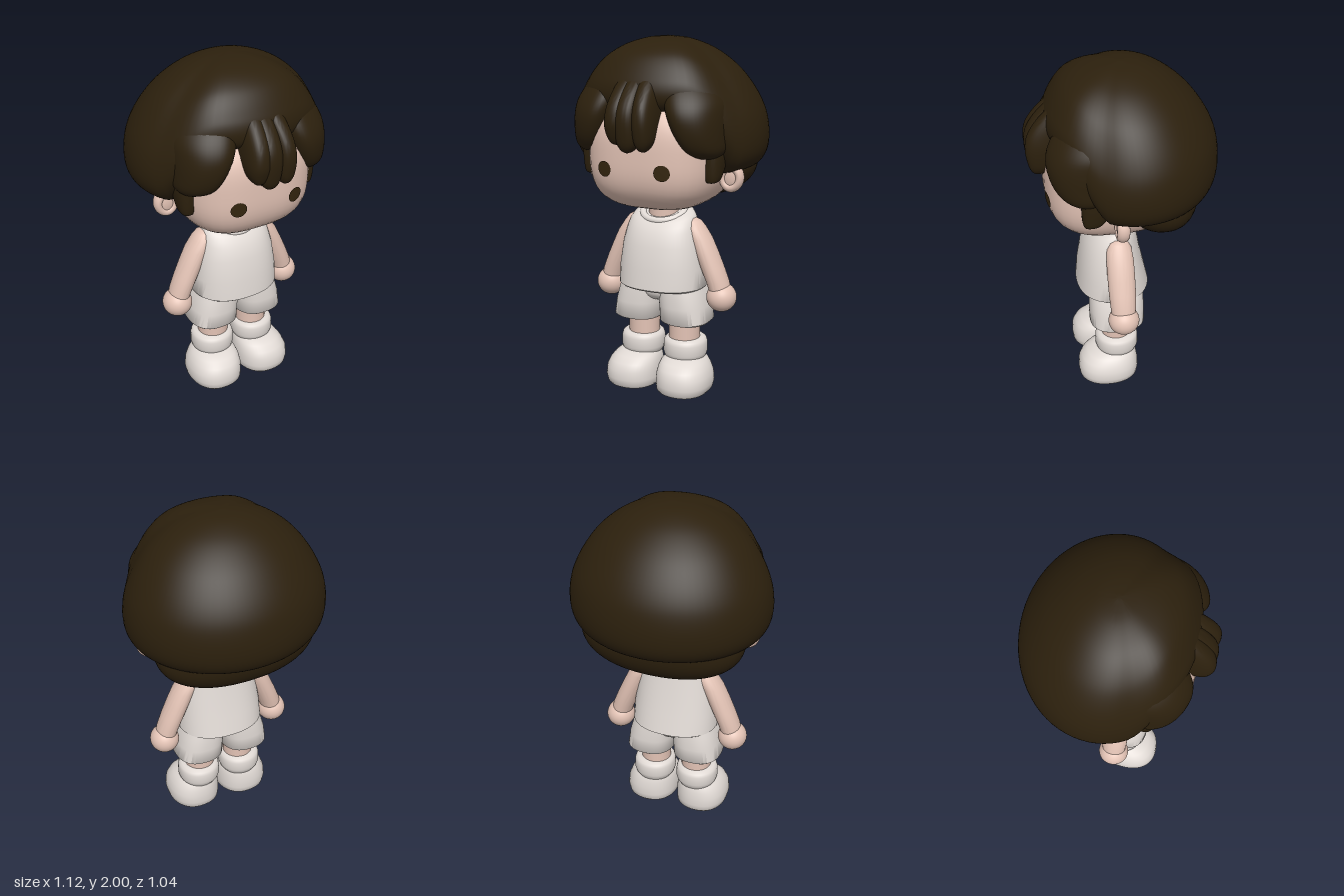
import * as THREE from 'three';
import { mergeVertices, toCreasedNormals } from 'three/addons/utils/BufferGeometryUtils.js';

const material = (name, color) => {
  const m = new THREE.MeshStandardMaterial({ color });
  m.name = name;
  return m;
};

// Rounded block: a sphere pushed out towards a box as n grows
function blob(rx, ry, rz, n = 2) {
  const g = new THREE.SphereGeometry(1, 48, 36);
  const p = g.attributes.position;
  for (let i = 0; i < p.count; i++) {
    const v = new THREE.Vector3().fromBufferAttribute(p, i);
    const k = Math.pow(Math.abs(v.x) ** n + Math.abs(v.y) ** n + Math.abs(v.z) ** n, -1 / n);
    p.setXYZ(i, v.x * k * rx, v.y * k * ry, v.z * k * rz);
  }
  g.deleteAttribute('uv');
  g.deleteAttribute('normal');
  const out = mergeVertices(g, 1e-5);
  out.computeVertexNormals();
  return out;
}

// Fills in extra rings along a spline through the given ones
function smooth(rings, count = 32) {
  const columns = rings[0].map((_, c) =>
    new THREE.SplineCurve(rings.map((r, i) => new THREE.Vector2(i, r[c]))).getPoints(count));
  return columns[0].map((_, i) => columns.map((col) => col[i].y));
}

// Closed skin over horizontal rings [y, rx, rz, cx, cz], bottom to top
function loft(rings, n = 2, rule = null, seg = 48) {
  const pos = [], idx = [];
  const first = rings[0], last = rings[rings.length - 1];
  const all = [[first[0], 0, 0, first[3], first[4]], ...rings, [last[0], 0, 0, last[3], last[4]]];
  all.forEach(([y, rx, rz, cx = 0, cz = 0], r) => {
    for (let i = 0; i < seg; i++) {
      const a = (i / seg) * Math.PI * 2, c = Math.cos(a), s = Math.sin(a);
      const k = Math.pow(Math.abs(c) ** n + Math.abs(s) ** n, -1 / n);
      const v = new THREE.Vector3(cx + c * k * rx, y, cz + s * k * rz);
      if (rule) rule(v, s);
      pos.push(v.x, v.y, v.z);
      if (r === all.length - 1) continue;
      const j = (i + 1) % seg, b = r * seg, t = b + seg;
      idx.push(b + i, t + i, b + j, b + j, t + i, t + j);
    }
  });
  const g = new THREE.BufferGeometry();
  g.setAttribute('position', new THREE.Float32BufferAttribute(pos, 3));
  g.setIndex(idx);
  return toCreasedNormals(g, 0.9);
}

export function createModel() {
  const hair = material('dark brown hair', 0x2c200d);
  const skin = material('skin', 0xe3c3b5);
  const cloth = material('off-white cloth', 0xe1dad5);
  const eyeMat = material('eye brown', 0x35260f);
  const model = new THREE.Group();
  model.name = 'child';
  const { smoothstep } = THREE.MathUtils;

  const add = (name, geo, mat, x = 0, y = 0, z = 0, rx = 0, ry = 0, rz = 0) => {
    const m = new THREE.Mesh(geo, mat);
    m.name = name;
    m.position.set(x, y, z);
    m.rotation.set(rx, ry, rz);
    model.add(m);
    return m;
  };

  // Head and neck
  const H = { y: 1.38, z: 0.06, rx: 0.37, ry: 0.32, rz: 0.37, n: 3 };
  add('head', blob(H.rx, H.ry, H.rz, H.n), skin, 0, H.y, H.z);
  add('neck', new THREE.CylinderGeometry(0.09, 0.09, 0.16, 32), skin, 0, 1.04, 0.045);
  const faceZ = (x, y) => H.z + H.rz * Math.pow(
    1 - Math.abs(x / H.rx) ** H.n - Math.abs((y - H.y) / H.ry) ** H.n, 1 / H.n);

  // Hair cap: the rim lifts towards the front to open the face
  const profile = smooth([
    [1.28, 0.34], [1.28, 0.43], [1.315, 0.505], [1.38, 0.548], [1.47, 0.56], [1.57, 0.547], [1.66, 0.514],
    [1.75, 0.463], [1.83, 0.4], [1.9, 0.318], [1.95, 0.23], [1.987, 0.12], [2, 0.001],
  ], 52).map(([y, r]) => [y, r, r]);
  add('hairCap', loft(profile, 2, (v, s) => {
    const back = 0.04 * (1 - smoothstep(v.y, 1.6, 2));
    v.y = 2 - (2 - v.y) * (1 - 0.45 * smoothstep(s, 0.4, 0.92));
    v.z = v.z * (s > 0 ? 0.81 : 0.86) - back;
  }, 72), hair);
  add('napeHair', blob(0.46, 0.24, 0.23, 2.25), hair, 0, 1.32, -0.18);

  // Middle fringe: three locks flowing down from the crown
  const lock = (cx, w, tip) => loft(smooth([
    [tip, 0.008, 0.01, cx, 0.45], [tip + 0.015, w * 0.45, 0.04, cx, 0.445],
    [tip + 0.06, w * 0.85, 0.085, cx, 0.42], [1.57, w, 0.12, cx, 0.397], [1.65, w, 0.14, cx * 0.95, 0.36],
    [1.73, w, 0.16, cx * 0.85, 0.285], [1.8, w * 0.95, 0.16, cx * 0.75, 0.205],
    [1.86, w * 0.8, 0.12, cx * 0.6, 0.14], [1.9, w * 0.4, 0.05, cx * 0.5, 0.1],
  ]), 2.6);
  add('fringeMiddle', lock(-0.012, 0.072, 1.41), hair);
  add('fringeRight', lock(-0.077, 0.065, 1.45), hair);
  add('fringeLeft', lock(0.08, 0.06, 1.42), hair);

  // Shirt with a neckline dipping at the front
  add('shirt', loft([
    [0.6, 0.245, 0.2, 0, 0.055], [0.61, 0.256, 0.212, 0, 0.055], [0.72, 0.25, 0.195, 0, 0.062],
    [0.85, 0.23, 0.17, 0, 0.066], [0.95, 0.208, 0.148, 0, 0.063], [1.0, 0.194, 0.134, 0, 0.06],
    [1.03, 0.176, 0.12, 0, 0.056], [1.045, 0.145, 0.1, 0, 0.05], [1.045, 0.1, 0.08, 0, 0.045],
  ], 2.3, (v) => { v.y -= 0.34 * (v.z - 0.02) * smoothstep(v.y, 0.88, 1.04); }), cloth);
  const band = new THREE.TorusGeometry(0.112, 0.02, 16, 48);
  band.rotateX(Math.PI / 2);
  add('neckband', band, cloth, 0, 1.025, 0.05, 0.34).scale.set(1.08, 1, 0.98);
  add('shortsSeat', blob(0.12, 0.09, 0.15, 2.5), cloth, 0, 0.6, 0.048);

  for (const s of [1, -1]) {
    const side = s > 0 ? 'left' : 'right';

    // Eye laid on the face
    const eye = new THREE.CircleGeometry(0.043, 32);
    const p = eye.attributes.position;
    for (let i = 0; i < p.count; i++) {
      const x = p.getX(i) + s * 0.17, y = p.getY(i) + 1.31;
      p.setXYZ(i, x, y, faceZ(x, y) + 0.006);
    }
    eye.computeVertexNormals();
    add(side + 'Eye', eye, eyeMat);

    // Ear with a soft raised rim
    add(side + 'Ear', blob(0.06, 0.075, 0.034), skin, s * 0.415, 1.25, 0.056, 0, 0, -s * 0.15);
    add(side + 'EarRim', new THREE.TorusGeometry(0.05, 0.024, 16, 40), skin,
      s * 0.412, 1.25, 0.06, 0, 0, -s * 0.15).scale.set(0.95, 1.1, 1.4);

    // Swept fringe, slanting back towards the temple, and sideburn
    add(side + 'Fringe', loft(smooth([
      [1.375, 0.01, 0.01, 0.355, 0.27], [1.385, 0.055, 0.06, 0.352, 0.268],
      [1.425, 0.095, 0.12, 0.34, 0.26], [1.5, 0.118, 0.155, 0.322, 0.255], [1.59, 0.137, 0.175, 0.303, 0.24],
      [1.67, 0.148, 0.18, 0.285, 0.205], [1.75, 0.135, 0.17, 0.255, 0.15],
      [1.82, 0.1, 0.14, 0.215, 0.09], [1.87, 0.04, 0.06, 0.18, 0.05],
    ]).map(([y, rx, rz, cx, cz]) => [y, rx, rz, s * cx, cz]), 2.3,
    (v) => { v.z -= (Math.abs(v.x) - 0.3) * 0.4; }), hair);
    add(side + 'Sideburn', loft(smooth([
      [1.245, 0.015, 0.02, 0.365, 0.225], [1.255, 0.035, 0.045, 0.365, 0.21], [1.3, 0.047, 0.068, 0.365, 0.195],
      [1.4, 0.052, 0.09, 0.368, 0.175], [1.55, 0.05, 0.09, 0.36, 0.17],
    ], 16).map(([y, rx, rz, cx, cz]) => [y, rx, rz, s * cx, cz]), 2.6), hair);

    // Arm and hand
    add(side + 'Arm', loft([
      [0.58, 0.06, 0.066, 0.35], [0.65, 0.065, 0.073, 0.33], [0.73, 0.066, 0.077, 0.297],
      [0.81, 0.066, 0.078, 0.262], [0.89, 0.065, 0.077, 0.225], [0.95, 0.06, 0.07, 0.19],
      [0.985, 0.042, 0.05, 0.18], [1.0, 0.02, 0.024, 0.175],
    ].map(([y, rx, rz, cx]) => [y, rx, rz, s * cx, 0.04])), skin);
    add(side + 'Hand', blob(0.085, 0.083, 0.088), skin, s * 0.355, 0.56, 0.04);

    // Shorts leg
    add(side + 'ShortsLeg', loft([
      [0.4, 0.134, 0.15, 0.148], [0.41, 0.144, 0.161, 0.147], [0.5, 0.14, 0.161, 0.138],
      [0.58, 0.134, 0.158, 0.122], [0.64, 0.12, 0.15, 0.11],
    ].map(([y, rx, rz, cx]) => [y, rx, rz, s * cx, 0.048]), 2.5), cloth);

    // Leg, sock cuff and shoe
    add(side + 'Leg', new THREE.CylinderGeometry(0.09, 0.09, 0.3, 32), skin, s * 0.13, 0.33, 0.05);
    add(side + 'SockCuff', loft([
      [0.17, 0.108, 0.11], [0.19, 0.12, 0.122], [0.21, 0.126, 0.128], [0.265, 0.125, 0.127],
      [0.285, 0.119, 0.121], [0.295, 0.105, 0.107],
    ].map(([y, rx, rz]) => [y, rx, rz, s * 0.137, 0.048]), 2.1), cloth);
    add(side + 'Shoe', loft([
      [0, 0.142, 0.165, 0.16, 0.105], [0.015, 0.154, 0.177, 0.16, 0.105],
      [0.05, 0.159, 0.181, 0.163, 0.105], [0.1, 0.156, 0.178, 0.161, 0.104],
      [0.14, 0.144, 0.165, 0.156, 0.098], [0.17, 0.128, 0.144, 0.15, 0.085],
      [0.188, 0.108, 0.118, 0.145, 0.068], [0.2, 0.09, 0.09, 0.14, 0.05],
    ].map(([y, rx, rz, cx, cz]) => [y, rx, rz, s * cx, cz]), 2.3), cloth);
  }
  return model;
}
